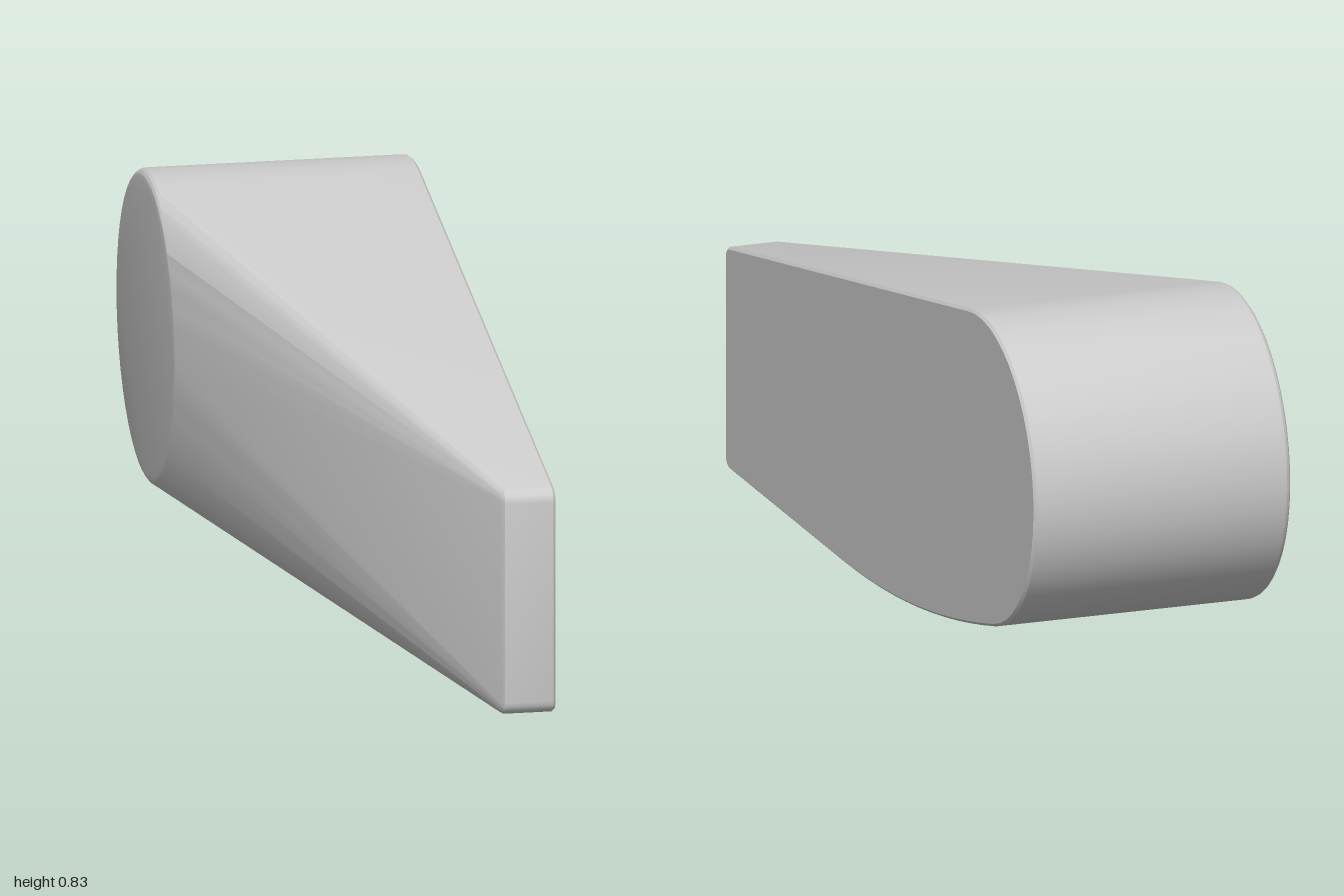
import * as THREE from 'three';
import { ConvexGeometry } from 'three/addons/geometries/ConvexGeometry.js';
import { toCreasedNormals } from 'three/addons/utils/BufferGeometryUtils.js';

// Side outline in (z, y): a round back end tapering to a blunt front end.
const R = 0.355, CZ = -0.645, CY = 0.48;      // round end
const TOP = 1.373, BOTTOM = 4.45;             // angles where the outline leaves the round end
const r = 0.03, FZ = 0.97;                    // front corner rounding
const upperY = CY + (R - r - Math.cos(TOP) * (FZ - CZ)) / Math.sin(TOP);

function arc(points, x, cz, cy, radius, from, to, steps) {
  for (let i = 0; i <= steps; i++) {
    const a = from + (to - from) * i / steps;
    points.push(new THREE.Vector3(x, cy + radius * Math.sin(a), cz + radius * Math.cos(a)));
  }
}

function frontCorners(points, x, inset, setback = 0) {
  arc(points, x, FZ - setback, upperY, r - inset, 0, TOP, 5);
  arc(points, x, FZ - setback, r, r - inset, -Math.PI / 2, 0, 5);
}

function sideOutline(points, x, inset) {
  arc(points, x, CZ, CY, R - inset, TOP, BOTTOM, 24);
  frontCorners(points, x, inset);
  // curved belly
  const belly = new THREE.QuadraticBezierCurve(
    new THREE.Vector2(0.25, 0),
    new THREE.Vector2(-0.23, 0),
    new THREE.Vector2(CZ + R * Math.cos(BOTTOM), CY + R * Math.sin(BOTTOM)));
  belly.getPoints(12).slice(0, -1).forEach(p => points.push(new THREE.Vector3(x, p.y + inset, p.x)));
}

export function createModel() {
  const points = [];

  // full outline on the flat side, with a fine bevel
  sideOutline(points, 0.305, 0.006);
  sideOutline(points, 0.299, 0);

  // narrow front end
  frontCorners(points, 0.19, 0);
  frontCorners(points, 0.182, 0.004, 0.006);

  // round disc on the other side, with a rounded rim
  const rim = 0.02;
  for (let i = 0; i <= 4; i++) {
    const a = i / 4 * Math.PI / 2;
    const x = -0.305 + rim * (1 - Math.sin(a));
    const radius = R - rim * (1 - Math.cos(a));
    arc(points, x, CZ, CY, radius, TOP, BOTTOM, 24);
    arc(points, x, CZ, CY, radius, BOTTOM + 0.12, TOP + Math.PI * 2 - 0.12, 24);
  }

  const geometry = toCreasedNormals(new ConvexGeometry(points), 0.35);
  const body = new THREE.Mesh(geometry, new THREE.MeshStandardMaterial({ color: 0xcccccc }));
  body.name = 'taperedBody';

  const group = new THREE.Group();
  group.name = 'taperedWedge';
  group.add(body);
  return group;
}
